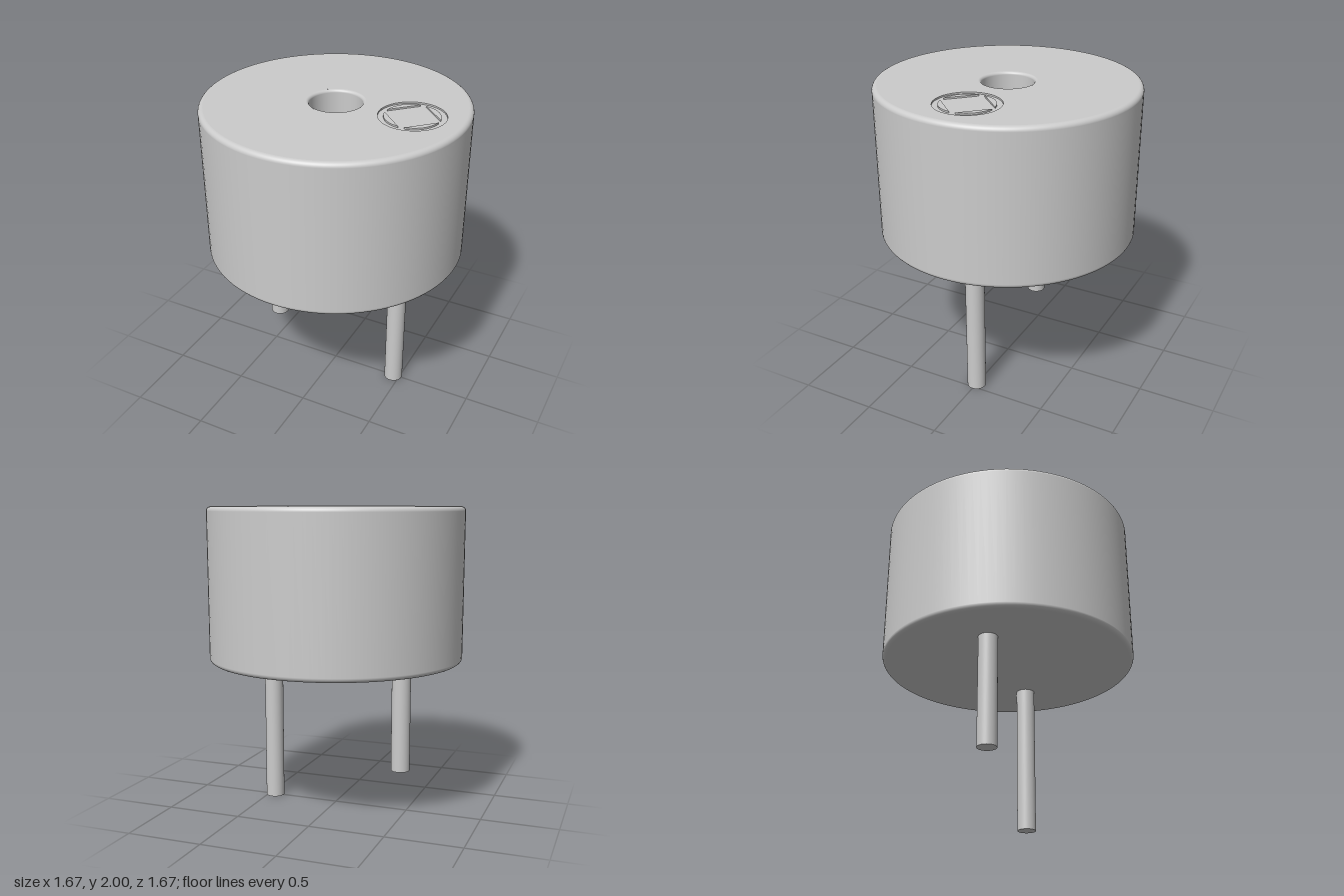
import * as THREE from 'three';

const SEG = 96;
const R = 0.833, TOP = 2, BOTTOM = 1, FILLET = 0.03;
const HOLE_R = 0.165, HOLE_FILLET = 0.018, HOLE_FLOOR = 1.6;
const MARK = { x: 0.5, outer: 0.205, inner: 0.17, halfBar: 0.019, depth: 0.01 };

const material = new THREE.MeshStandardMaterial({ color: 0xcccccc });

function add(parent, name, geometry, x = 0, y = 0, z = 0) {
  const mesh = new THREE.Mesh(geometry, material);
  mesh.name = name;
  mesh.position.set(x, y, z);
  parent.add(mesh);
  return mesh;
}

// Profile points of a quarter-round edge
function arc(cx, cy, r, from, to, steps = 8) {
  return Array.from({ length: steps + 1 }, (_, i) => {
    const a = from + ((to - from) * i) / steps;
    return new THREE.Vector2(cx + r * Math.cos(a), cy + r * Math.sin(a));
  });
}

function circlePath(x, r) {
  return new THREE.Path().absarc(x, 0, r, 0, Math.PI * 2, true);
}

export function createModel() {
  const model = new THREE.Group();
  const half = Math.PI / 2;

  // Round housing with softened rims
  const body = new THREE.Group();
  body.name = 'housing';
  model.add(body);
  add(body, 'housingWall', new THREE.LatheGeometry([
    ...arc(R - FILLET, BOTTOM + FILLET, FILLET, -half, 0),
    ...arc(R - FILLET, TOP - FILLET, FILLET, 0, half),
  ], SEG));
  add(body, 'housingBase', new THREE.CircleGeometry(R - FILLET, SEG), 0, BOTTOM).rotation.x = half;

  // Top face, open at the sound hole and the polarity mark
  const top = new THREE.Shape().absarc(0, 0, R - FILLET, 0, Math.PI * 2, false);
  top.holes.push(circlePath(0, HOLE_R + HOLE_FILLET), circlePath(MARK.x, MARK.outer));
  add(body, 'topFace', new THREE.ShapeGeometry(top, SEG), 0, TOP).rotation.x = -half;

  // Blind sound hole with a rounded lip
  add(body, 'soundHole', new THREE.LatheGeometry([
    ...arc(HOLE_R + HOLE_FILLET, TOP - HOLE_FILLET, HOLE_FILLET, half, Math.PI),
    new THREE.Vector2(HOLE_R, HOLE_FLOOR),
  ], SEG));
  add(body, 'soundHoleFloor', new THREE.CircleGeometry(HOLE_R, SEG), 0, HOLE_FLOOR).rotation.x = -half;

  // Shallow engraved polarity mark: a ring and cross around four quarter islands
  const mark = new THREE.Group();
  mark.name = 'polarityMark';
  mark.position.set(MARK.x, TOP - MARK.depth, 0);
  model.add(mark);
  add(mark, 'markFloor', new THREE.CircleGeometry(MARK.outer, SEG)).rotation.x = -half;
  add(mark, 'markRim', new THREE.LatheGeometry([
    new THREE.Vector2(MARK.outer, MARK.depth),
    new THREE.Vector2(MARK.outer, 0),
  ], SEG));
  const b = MARK.halfBar;
  const a0 = Math.asin(b / MARK.inner);
  const quarter = new THREE.Shape()
    .moveTo(b, b)
    .absarc(0, 0, MARK.inner, a0, half - a0, false)
    .closePath();
  const island = new THREE.ExtrudeGeometry(quarter, {
    depth: MARK.depth, bevelEnabled: false, curveSegments: 24,
  }).rotateX(-half);
  for (let i = 0; i < 4; i++) add(mark, 'markQuarter', island).rotation.y = i * half;

  // Two round pins, the one beside the mark being longer
  for (const [name, x, end] of [['longPin', 0.455, 0], ['shortPin', -0.455, 0.275]]) {
    const length = BOTTOM - end;
    add(model, name, new THREE.CylinderGeometry(0.062, 0.062, length, 48), x, end + length / 2);
  }
  return model;
}
